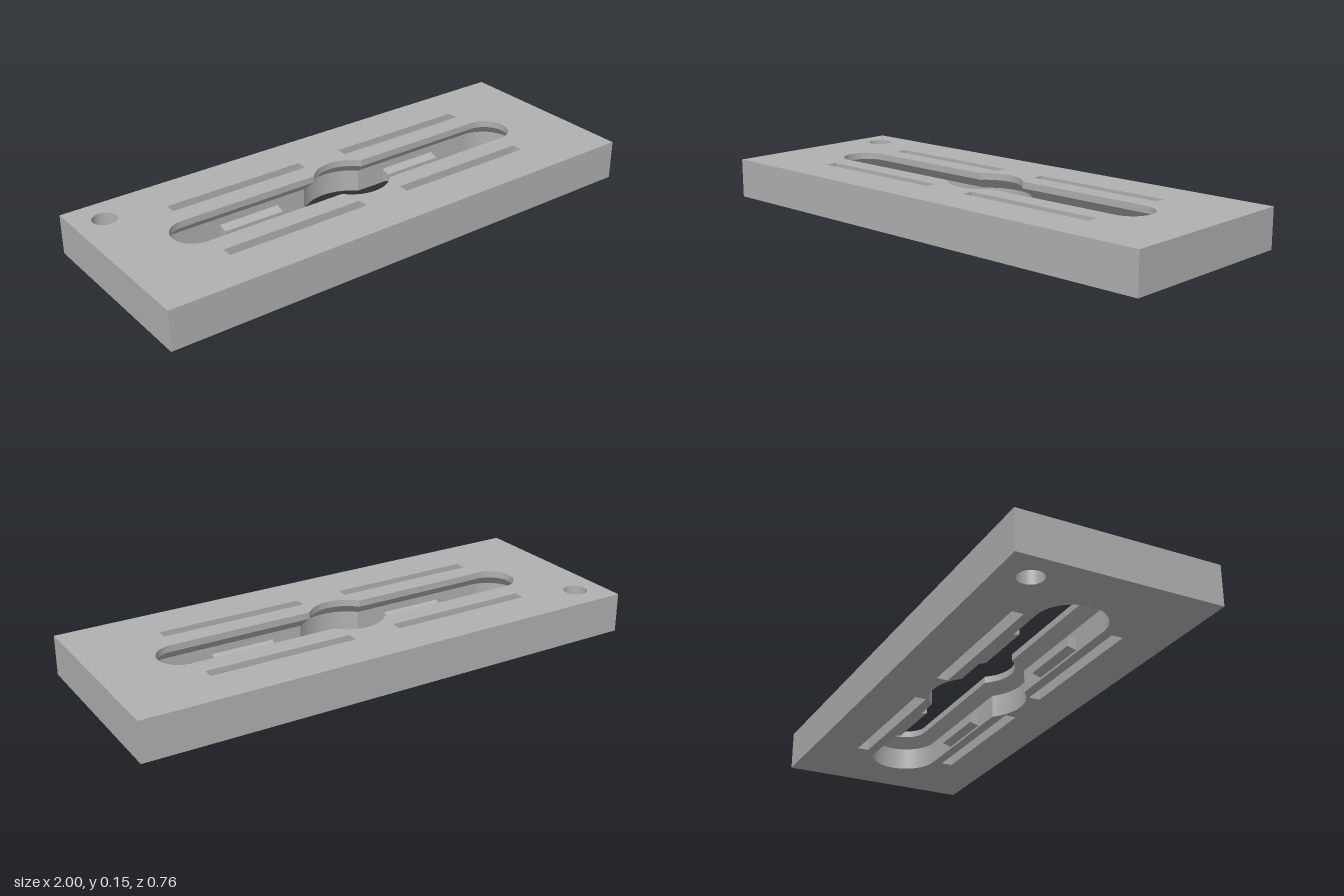
import * as THREE from 'three';
import { toCreasedNormals } from 'three/addons/utils/BufferGeometryUtils.js';

const HEIGHT = 0.154, HALF_DEPTH = 0.382;

// Points on an arc in the x-z plane
function arc(cx, cz, r, from, to, steps) {
  return Array.from({ length: steps + 1 }, (_, i) => {
    const a = from + (to - from) * i / steps;
    return [cx + r * Math.cos(a), cz + r * Math.sin(a)];
  });
}

const rect = (x0, x1, z0, z1) => [[x0, z0], [x1, z0], [x1, z1], [x0, z1]];

// Long slot with rounded ends and a round bulge in the middle
function slotLoop(halfWidth, bulge) {
  const end = 0.677, a = Math.asin(halfWidth / bulge), P = Math.PI;
  return [
    ...arc(end, 0, halfWidth, -P / 2, P / 2, 20),
    ...arc(0, 0, bulge, a, P - a, 20),
    ...arc(-end, 0, halfWidth, P / 2, 1.5 * P, 20),
    ...arc(0, 0, bulge, P + a, 2 * P - a, 20),
  ];
}

// Wall through matching loops, each given as [loop, y]; faces the loop's inside
function wall(levels) {
  const pos = [];
  for (let k = 0; k < levels.length - 1; k++) {
    const [lo, y0] = levels[k], [hi, y1] = levels[k + 1];
    for (let i = 0; i < lo.length; i++) {
      const j = (i + 1) % lo.length;
      const a = [lo[i][0], y0, lo[i][1]], b = [lo[j][0], y0, lo[j][1]];
      const c = [hi[j][0], y1, hi[j][1]], d = [hi[i][0], y1, hi[i][1]];
      pos.push(...a, ...b, ...c, ...a, ...c, ...d);
    }
  }
  const g = new THREE.BufferGeometry();
  g.setAttribute('position', new THREE.Float32BufferAttribute(pos, 3));
  return toCreasedNormals(g, 0.5);
}

// Flat face with holes, facing up (side 1) or down (side -1)
function face(outer, holes, side, y) {
  const flat = loop => loop.map(([x, z]) => new THREE.Vector2(x, -side * z));
  const shape = new THREE.Shape(flat(outer));
  shape.holes = holes.map(h => new THREE.Path(flat(h)));
  return new THREE.ShapeGeometry(shape).rotateX(-side * Math.PI / 2).translate(0, y, 0);
}

export function createModel() {
  const group = new THREE.Group();
  const grey = new THREE.MeshStandardMaterial({ color: 0xb0b0b0 });
  grey.name = 'plain grey';
  const add = (name, geometry) => {
    const mesh = new THREE.Mesh(geometry, grey);
    mesh.name = name;
    group.add(mesh);
    return mesh;
  };

  const outer = rect(-1, 1, -HALF_DEPTH, HALF_DEPTH);
  const narrow = slotLoop(0.088, 0.141), wide = slotLoop(0.129, 0.182);
  const cornerHole = arc(-0.885, -0.264, 0.046, 0, 2 * Math.PI, 32).slice(0, -1);
  const slits = [];
  for (const x of [-0.665, 0.093])
    for (const z of [-0.212, 0.168]) slits.push(rect(x, x + 0.572, z, z + 0.044));
  const through = [cornerHole, ...slits];

  // Plate faces and rim
  add('plateTop', face(outer, [narrow, ...through], 1, HEIGHT));
  add('plateBottom', face(outer, [wide, ...through], -1, 0));
  add('plateRim', wall([[[...outer].reverse(), 0], [[...outer].reverse(), HEIGHT]]));

  // Slot: wide below, sloping in to a narrow lip at the top
  add('slotWall', wall([[wide, 0], [wide, 0.088], [narrow, 0.128], [narrow, HEIGHT]]));
  add('cornerHoleWall', wall([[cornerHole, 0], [cornerHole, HEIGHT]]));
  slits.forEach(s => add('slitWall', wall([[s, 0], [s, HEIGHT]])));

  // Catch ridges on both long walls of the slot
  const profile = new THREE.Shape([[-0.131, 0.008], [-0.094, 0.018], [-0.094, 0.048], [-0.131, 0.06]]
    .map(p => new THREE.Vector2(...p)));
  const ridge = new THREE.ExtrudeGeometry(profile, { depth: 0.25, bevelEnabled: false }).rotateY(Math.PI / 2);
  for (const x of [-0.5, 0.25])
    for (const turn of [0, Math.PI]) {
      const mesh = add('catchRidge', ridge.clone().translate(x, 0, 0));
      mesh.rotation.y = turn;
    }
  return group;
}
